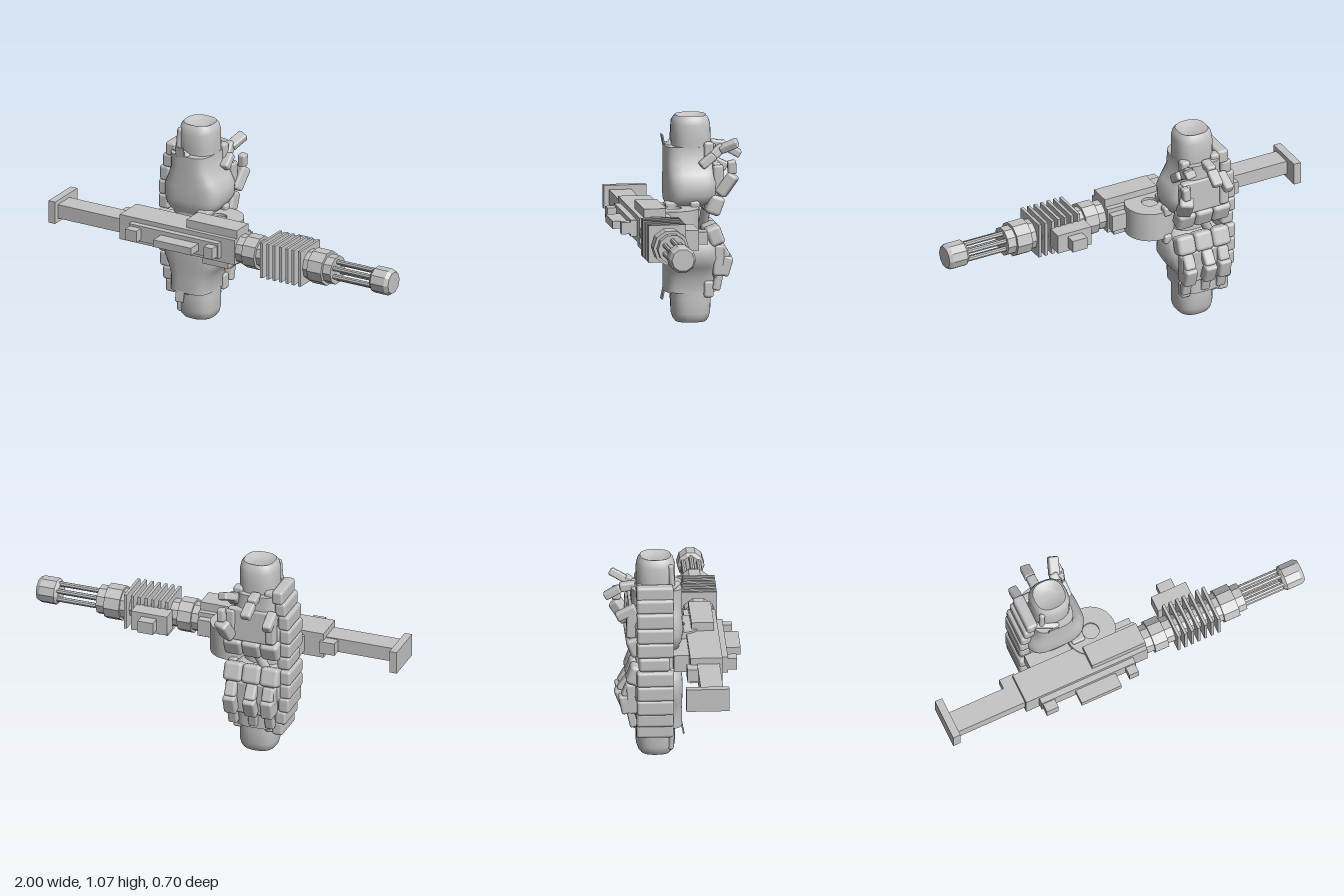
import * as THREE from 'three';
import { toCreasedNormals } from 'three/addons/utils/BufferGeometryUtils.js';
import { RoundedBoxGeometry } from 'three/addons/geometries/RoundedBoxGeometry.js';

const GUN_Y = 0.533, GUN_Z = 0.163;

export function createModel() {
  const grey = new THREE.MeshStandardMaterial({ color: 0xc4c4c4 });
  grey.name = 'light grey';
  const model = new THREE.Group();
  const gun = new THREE.Group();
  gun.name = 'gun';
  const gauntlets = new THREE.Group();
  gauntlets.name = 'gauntlets';
  model.add(gun, gauntlets);

  const add = (parent, name, geo) => {
    const mesh = new THREE.Mesh(geo, grey);
    mesh.name = name;
    parent.add(mesh);
    return mesh;
  };
  // Box given by its limits
  const box = (parent, name, x0, x1, y0, y1, z0, z1) => {
    const m = add(parent, name, new THREE.BoxGeometry(x1 - x0, y1 - y0, z1 - z0));
    m.position.set((x0 + x1) / 2, (y0 + y1) / 2, (z0 + z1) / 2);
    return m;
  };
  // Faceted barrel section along x
  const ring = (name, x0, x1, r0, r1 = r0, dy = 0, dz = 0, sides = 10) => {
    const g = new THREE.CylinderGeometry(r1, r0, x1 - x0, sides).rotateZ(-Math.PI / 2);
    const m = add(gun, name, toCreasedNormals(g, 0.3));
    m.position.set((x0 + x1) / 2, GUN_Y + dy, GUN_Z + dz);
    return m;
  };

  // Stock and receiver
  box(gun, 'buttPlate', -1, -0.96, 0.475, 0.595, 0.035, 0.255);
  box(gun, 'stock', -0.96, -0.58, 0.497, 0.572, 0.113, 0.228);
  box(gun, 'stockBlock', -0.65, -0.567, 0.5, 0.567, 0.06, 0.115);
  box(gun, 'receiver', -0.583, 0.1, 0.468, 0.604, 0.078, 0.243);
  box(gun, 'topCover', -0.2, 0.1, 0.6, 0.649, 0.105, 0.22);
  box(gun, 'bottomCover', -0.105, 0.048, 0.427, 0.47, 0.105, 0.22);
  box(gun, 'sideRail', -0.51, 0.02, 0.495, 0.58, 0.24, 0.275);
  box(gun, 'rearRailBlock', -0.503, -0.437, 0.507, 0.568, 0.27, 0.322);
  box(gun, 'frontRailBlock', -0.037, 0.015, 0.507, 0.568, 0.27, 0.322);
  box(gun, 'longRailBlock', -0.32, -0.095, 0.518, 0.557, 0.27, 0.35);
  box(gun, 'drumLink', -0.02, 0.09, 0.49, 0.58, 0.04, 0.085);

  // Drum with recessed hub on both faces
  const disc = new THREE.Shape().absarc(0, 0, 0.13, 0, Math.PI * 2, false);
  disc.holes.push(new THREE.Path().absarc(0, 0, 0.043, 0, Math.PI * 2, true));
  const drum = new THREE.ExtrudeGeometry(disc, { depth: 0.158, bevelEnabled: false, curveSegments: 24 });
  drum.translate(0, 0, -0.079).rotateX(Math.PI / 2);
  add(gun, 'drum', toCreasedNormals(drum, 0.5)).position.set(-0.12, 0.535, 0.032);
  add(gun, 'drumHub', new THREE.CylinderGeometry(0.044, 0.044, 0.13, 24)).position.set(-0.12, 0.535, 0.032);

  // Barrel sections
  [[0.1, 0.145, 0.077], [0.145, 0.22, 0.09], [0.22, 0.265, 0.073], [0.265, 0.5, 0.062],
    [0.5, 0.535, 0.08], [0.535, 0.62, 0.092], [0.62, 0.667, 0.076]]
    .forEach(([a, b, r]) => ring('barrelSection', a, b, r));
  for (let i = 0; i < 7; i++) {
    const x = 0.264 + i * 0.0375;
    box(gun, 'coolingFin', x, x + 0.015, 0.44, 0.633, 0.068, 0.262);
  }
  box(gun, 'sideGripBase', 0.24, 0.435, 0.485, 0.59, -0.01, 0.075);
  box(gun, 'sideGrip', 0.295, 0.378, 0.505, 0.57, -0.066, 0);

  // Rotary barrels and muzzle
  for (let i = 0; i < 6; i++) {
    const a = Math.PI / 6 + i * Math.PI / 3;
    ring('rotaryBarrel', 0.66, 0.895, 0.0135, 0.0135, 0.045 * Math.sin(a), 0.045 * Math.cos(a), 8);
  }
  ring('muzzleBack', 0.883, 0.9, 0.052, 0.07);
  ring('muzzle', 0.9, 0.98, 0.07);
  ring('muzzleFront', 0.98, 1, 0.07, 0.058);

  // Closed skin through rounded-square sections [y, x0, x1, z0, z1], lowest first
  const loft = (name, sections, power, n = 32) => {
    const pos = [], index = [];
    const bend = v => Math.sign(v) * Math.abs(v) ** power;
    for (const [y, x0, x1, z0, z1] of sections) {
      for (let j = 0; j < n; j++) {
        const a = j / n * Math.PI * 2;
        pos.push((x0 + x1) / 2 + (x1 - x0) / 2 * bend(Math.cos(a)), y,
          (z0 + z1) / 2 + (z1 - z0) / 2 * bend(Math.sin(a)));
      }
    }
    const last = sections.length - 1;
    for (let i = 0; i < last; i++) {
      for (let j = 0; j < n; j++) {
        const a = i * n + j, b = i * n + (j + 1) % n;
        index.push(a, a + n, b, b, a + n, b + n);
      }
    }
    for (let j = 1; j < n - 1; j++) {
      index.push(0, j, j + 1, last * n, last * n + j + 1, last * n + j);
    }
    const g = new THREE.BufferGeometry();
    g.setAttribute('position', new THREE.Float32BufferAttribute(pos, 3));
    g.setIndex(index);
    return add(gauntlets, name, toCreasedNormals(g, 0.7));
  };
  // Rounded block or rod running from a to b
  const limb = (name, a, b, width, depth) => {
    const from = new THREE.Vector3(...a), dir = new THREE.Vector3(...b).sub(from), len = dir.length();
    const g = depth
      ? new RoundedBoxGeometry(width, len, depth, 2, Math.min(width, depth, len) * 0.25)
      : new THREE.CapsuleGeometry(width, len, 4, 12);
    const m = add(gauntlets, name, g);
    m.position.copy(from).addScaledVector(dir, 0.5);
    m.quaternion.setFromUnitVectors(new THREE.Vector3(0, 1, 0), dir.normalize());
  };

  // Upper gauntlet profile; the lower one repeats it upside down
  const palm = [
    [0.585, -0.41, -0.2, -0.11, 0.03], [0.625, -0.45, -0.155, -0.18, 0.048],
    [0.665, -0.465, -0.137, -0.215, 0.052], [0.73, -0.465, -0.135, -0.218, 0.052],
    [0.775, -0.445, -0.16, -0.215, 0.05], [0.83, -0.425, -0.197, -0.213, 0.05],
    [0.91, -0.425, -0.2, -0.213, 0.05]];
  const wrist = [
    [0.85, -0.405, -0.2, -0.185, 0.01], [0.95, -0.4, -0.2, -0.187, 0.015],
    [1.02, -0.4, -0.2, -0.185, 0.015], [1.05, -0.393, -0.207, -0.175, 0.006],
    [1.066, -0.38, -0.22, -0.163, -0.007], [1.063, -0.37, -0.23, -0.155, -0.015],
    [1.05, -0.345, -0.255, -0.13, -0.04]];

  for (const upper of [true, false]) {
    const side = upper ? 'upper' : 'lower';
    const h = y => upper ? y : 1.066 - y;
    const place = s => {
      const list = s.map(([y, ...rest]) => [h(y), ...rest]);
      return upper ? list : list.reverse();
    };
    loft(side + 'Palm', place(palm), 0.55);
    loft(side + 'Wrist', place(wrist), 0.8);

    // Cuff clasps, rods and flared tabs
    for (const x of [-0.385, -0.215]) {
      limb(side + 'CuffClasp', [x, h(0.85), -0.165], [x, h(0.935), -0.165], 0.05, 0.05);
    }
    limb(side + 'CuffRod', [-0.38, h(0.93), -0.005], [-0.375, h(1.025), -0.01], 0.015);
    limb(side + 'CuffBand', [-0.42, h(0.915), -0.02], [-0.3, h(0.9), 0.03], 0.04, 0.03);
    limb(side + 'FlaredTab', [-0.34, h(0.9), 0.045], [-0.34, h(0.96), 0.057], 0.05, 0.008);

    // Stack of plates along the outer side
    [[0.572, 0.652, -0.472], [0.65, 0.73, -0.472], [0.728, 0.81, -0.465], [0.805, 0.88, -0.447], [0.87, 0.945, -0.43]]
      .forEach(([a, b, x]) => {
        limb(side + 'SidePlate', [x, h(a), -0.095], [x, h(b), -0.095], 0.06, 0.19);
      });

    // Back panel with a raised frame, and blocks near the waist
    limb(side + 'BackPanel', [-0.3, h(0.65), -0.21], [-0.3, h(0.83), -0.205], 0.25, 0.04);
    for (const x of [-0.41, -0.19]) {
      limb(side + 'PanelEdge', [x, h(0.66), -0.215], [x, h(0.82), -0.21], 0.05, 0.055);
    }
    for (const x of [-0.4, -0.3, -0.2]) {
      limb(side + 'KnuckleBlock', [x, h(0.565), -0.175], [x, h(0.66), -0.21], 0.1, 0.08);
    }
    // Small knobs beside the drum
    limb(side + 'Knob', [-0.155, h(0.59), -0.085], [-0.155, h(0.64), -0.085], 0.045, 0.05);
    limb(side + 'FrontKnob', [-0.2, h(0.6), 0.03], [-0.2, h(0.635), 0.03], 0.07, 0.07);
  }

  // Jointed waist joining both gauntlets
  loft('waist', [[0.44, -0.42, -0.2, -0.12, 0.03], [0.533, -0.4, -0.22, -0.11, 0.04], [0.63, -0.42, -0.2, -0.12, 0.03]], 0.7);
  box(gauntlets, 'gunMount', -0.48, -0.2, 0.49, 0.58, 0, 0.08);
  limb('waistPlate', [-0.46, 0.495, -0.1], [-0.46, 0.57, -0.1], 0.07, 0.16);
  limb('waistRod', [-0.36, 0.48, -0.16], [-0.3, 0.6, -0.17], 0.025);

  // Upper open fingers
  limb('fingerBase', [-0.18, 0.815, -0.12], [-0.185, 0.87, -0.19], 0.05, 0.045);
  limb('fingerJoint', [-0.2, 0.86, -0.18], [-0.21, 0.91, -0.24], 0.045, 0.05);
  limb('fingerTip', [-0.205, 0.895, -0.225], [-0.175, 0.935, -0.31], 0.055, 0.04);
  limb('middleFingerTip', [-0.32, 0.895, -0.265], [-0.315, 0.85, -0.345], 0.055, 0.04);
  limb('middleFingerJoint', [-0.32, 0.91, -0.19], [-0.32, 0.9, -0.27], 0.05, 0.045);
  limb('bentFingerJoint', [-0.16, 0.845, -0.275], [-0.165, 0.775, -0.28], 0.045, 0.04);
  limb('bentFingerBlock', [-0.165, 0.77, -0.29], [-0.18, 0.665, -0.22], 0.075, 0.06);
  limb('outerFinger', [-0.41, 0.82, -0.19], [-0.41, 0.77, -0.29], 0.05, 0.05);

  // Lower folded fingers
  for (const [x, reach] of [[-0.4, 0.02], [-0.31, 0], [-0.2, 0.01]]) {
    limb('foldedFingerBase', [x, 0.405, -0.215], [x, 0.335, -0.265 + reach], 0.06, 0.05);
    limb('foldedFingerMiddle', [x, 0.345, -0.275 + reach], [x, 0.245, -0.235], 0.068, 0.055);
    limb('foldedFingerTip', [x, 0.26, -0.22], [x, 0.17, -0.2], 0.05, 0.04);
  }
  return model;
}
